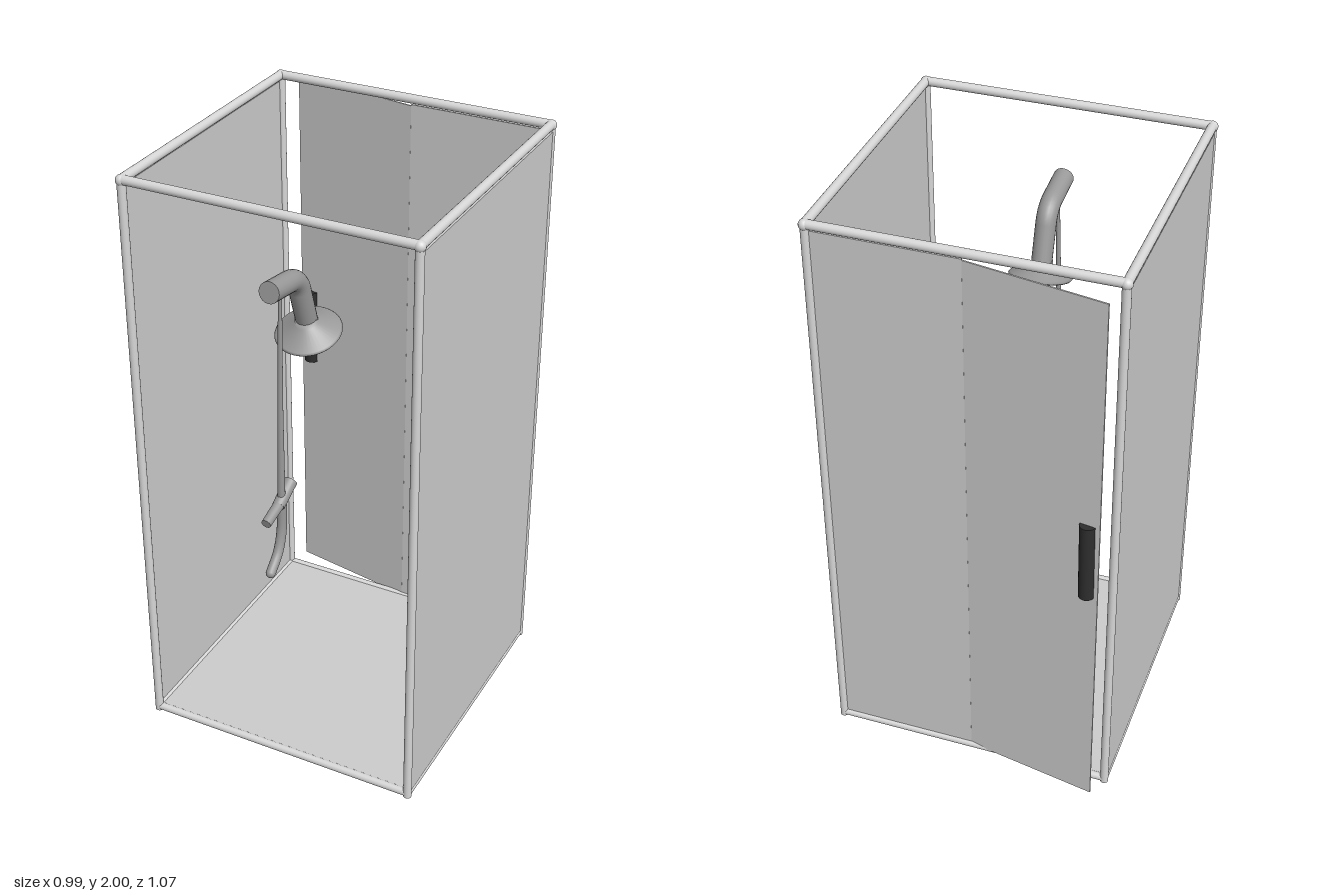
import * as THREE from 'three';

const mat = (name, color) => {
  const m = new THREE.MeshStandardMaterial({ color });
  m.name = name;
  return m;
};

export function createModel() {
  const root = new THREE.Group();
  root.name = 'showerCabin';
  const glass = mat('frosted panel grey', 0xcccccc);
  const frame = mat('frame light grey', 0xd6d6d6);
  const metal = mat('fitting grey', 0x999999);
  const dark = mat('dark handle', 0x2e2e2e);

  const add = (name, geo, material, parent = root) => {
    const m = new THREE.Mesh(geo, material);
    m.name = name;
    parent.add(m);
    return m;
  };
  const box = (name, size, pos, material, parent) => {
    const m = add(name, new THREE.BoxGeometry(...size), material, parent);
    m.position.set(...pos);
    return m;
  };
  // straight round bar between two points
  const bar = (name, a, b, r0, r1, material) => {
    const p = new THREE.Vector3(...a), q = new THREE.Vector3(...b);
    const d = q.clone().sub(p);
    const m = add(name, new THREE.CylinderGeometry(r1, r0, d.length(), 20), material);
    m.position.copy(p).add(q).multiplyScalar(0.5);
    m.quaternion.setFromUnitVectors(new THREE.Vector3(0, 1, 0), d.normalize());
    return m;
  };

  const X = 0.475, ZF = 0.51, ZB = -0.44, R = 0.015, TOP = 1.984;

  // floor tray
  box('floor', [2 * X, 0.02, ZF - ZB], [0, 0.01, (ZF + ZB) / 2], glass);

  // posts, rails and corner joints
  for (const x of [-X, X]) {
    for (const z of [ZB, ZF]) {
      bar('post', [x, 0, z], [x, TOP, z], 0.014, 0.014, frame);
      const joint = add('cornerJoint', new THREE.SphereGeometry(0.018, 16, 12), frame);
      joint.position.set(x, 1.982, z);
    }
  }
  for (const [kind, y] of [['bottomRail', 0.013], ['topRail', TOP]]) {
    const r = y > 1 ? R : 0.013;
    for (const x of [-X, X]) bar(kind, [x, y, ZB], [x, y, ZF], r, r, frame);
    for (const z of [ZB, ZF]) bar(kind, [-X, y, z], [X, y, z], r, r, frame);
  }

  // side panels and fixed back panel; the front stays open
  for (const x of [-X, X]) {
    box('sidePanel', [0.012, 1.95, ZF - ZB], [x + Math.sign(x) * 0.004, 0.99, (ZF + ZB) / 2], glass);
  }
  box('fixedBackPanel', [X, 1.95, 0.006], [X / 2, 0.99, ZB], glass);

  // door, hinged at the middle of the back and slightly open
  const door = new THREE.Group();
  door.name = 'door';
  door.position.set(0, 0, ZB);
  door.rotation.y = -0.173;
  root.add(door);
  box('doorPanel', [0.456, 1.945, 0.005], [-0.228, 0.988, 0], glass, door);
  const grip = add('doorHandle', new THREE.CylinderGeometry(0.026, 0.026, 0.28, 24), dark, door);
  grip.position.set(-0.416, 1.03, 0);
  grip.rotation.z = -0.01;

  // floor drain: a disc with one side cut off
  const cut = new THREE.Shape();
  cut.absarc(0, 0, 0.04, Math.PI / 2, Math.PI * 2, false);
  cut.closePath();
  const drain = add('drain', new THREE.ExtrudeGeometry(cut, { depth: 0.006, bevelEnabled: false, curveSegments: 24 }), dark);
  drain.rotation.x = -Math.PI / 2;
  drain.position.set(0.295, 0.018, -0.26);

  // bent overhead arm
  const bend = new THREE.CurvePath();
  const v = (x, y, z) => new THREE.Vector3(x, y, z);
  bend.add(new THREE.LineCurve3(v(0, 1.725, 0.5), v(0, 1.708, 0.385)));
  bend.add(new THREE.QuadraticBezierCurve3(v(0, 1.708, 0.385), v(0, 1.7, 0.335), v(0, 1.655, 0.318)));
  bend.add(new THREE.LineCurve3(v(0, 1.655, 0.318), v(0, 1.515, 0.272)));
  add('showerArm', new THREE.TubeGeometry(bend, 32, 0.034, 20), metal);
  const cap = add('armEnd', new THREE.CircleGeometry(0.034, 20), metal);
  cap.position.set(0, 1.725, 0.5);
  cap.rotation.x = -0.147;

  // tilted shower head
  const headProfile = [[0, -0.006], [0.1, -0.006], [0.105, 0], [0.1, 0.006], [0.036, 0.04], [0.034, 0.055], [0, 0.055]];
  const head = add('showerHead', new THREE.LatheGeometry(headProfile.map(p => new THREE.Vector2(...p)), 40), metal);
  head.position.set(0, 1.488, 0.267);
  head.rotation.x = 0.33;

  // hose, hand shower and its holder
  bar('hose', [-0.012, 1.3, 0.43], [-0.004, 1.68, 0.43], 0.009, 0.006, metal);
  bar('hoseLower', [-0.016, 0.95, 0.43], [-0.012, 1.3, 0.43], 0.013, 0.009, metal);
  bar('mixerBody', [-0.015, 0.935, 0.53], [-0.015, 0.96, 0.44], 0.016, 0.018, metal);
  bar('mixerLever', [-0.015, 0.955, 0.45], [-0.015, 1.0, 0.37], 0.02, 0.022, metal);
  const spoutPath = new THREE.CatmullRomCurve3([
    v(-0.015, 0.95, 0.43), v(-0.015, 0.85, 0.435), v(-0.015, 0.785, 0.46), v(-0.015, 0.735, 0.51),
  ]);
  add('spout', new THREE.TubeGeometry(spoutPath, 20, 0.016, 16), metal);
  const tip = add('spoutTip', new THREE.SphereGeometry(0.016, 16, 12), metal);
  tip.position.set(-0.015, 0.735, 0.51);

  return root;
}
